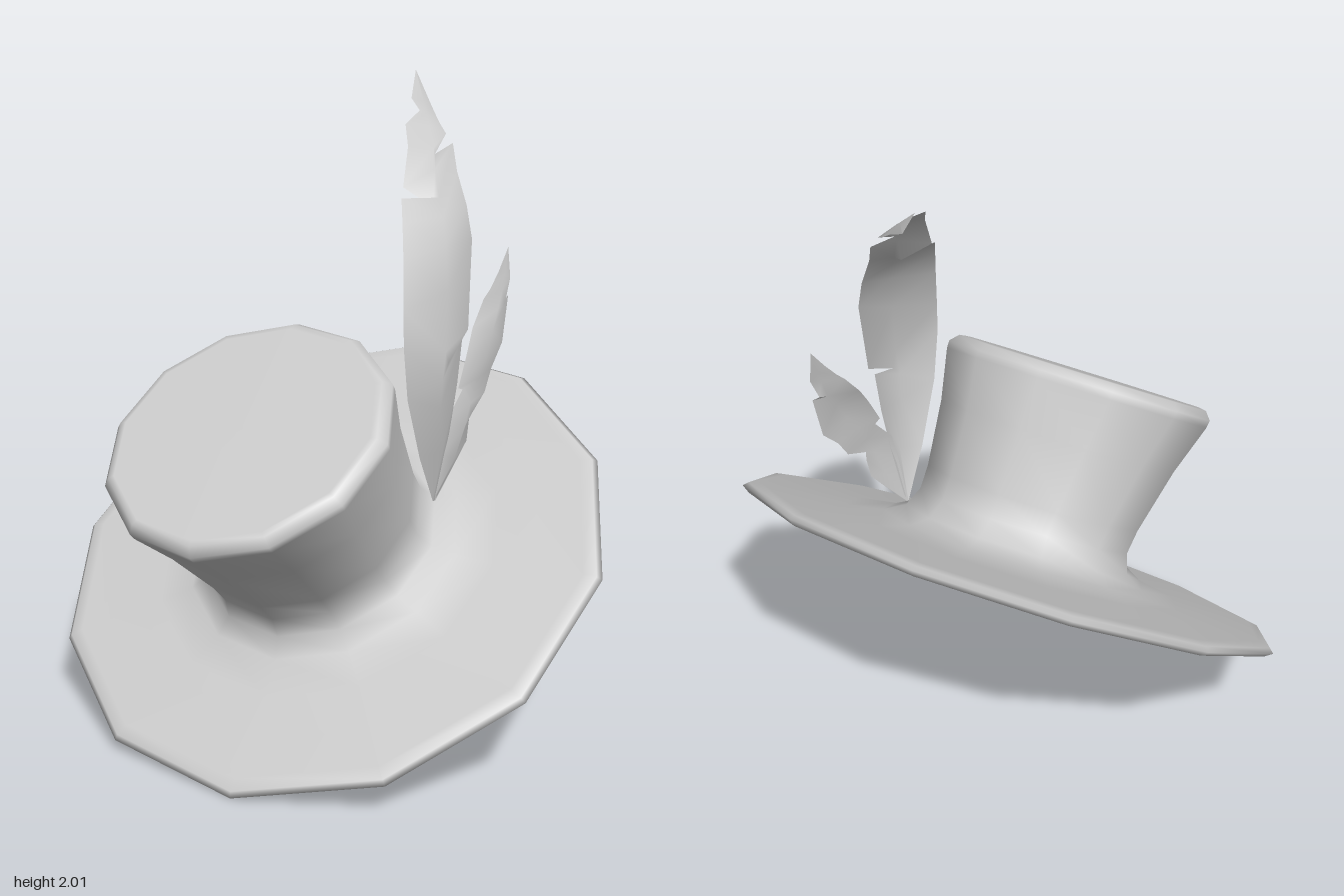
import * as THREE from 'three';
import { mergeVertices } from 'three/addons/utils/BufferGeometryUtils.js';

const felt = new THREE.MeshStandardMaterial({ color: 0xcccccc });
const plume = new THREE.MeshStandardMaterial({ color: 0xcccccc, side: THREE.DoubleSide });

// Twelve-sided brim and flared crown in one profile; the crown leans as it rises
function makeHat() {
  const profile = [
    [0, -0.02], [0.86, -0.02], [0.89, -0.018], [0.915, 0], [0.9, 0.014], [0.86, 0.022],
    [0.58, 0.03], [0.46, 0.05], [0.395, 0.085], [0.37, 0.15], [0.375, 0.23],
    [0.415, 0.45], [0.462, 0.62], [0.464, 0.645], [0.44, 0.672], [0.42, 0.675], [0, 0.677],
  ].map(([r, y]) => new THREE.Vector2(r, y));
  let geo = new THREE.LatheGeometry(profile, 12);
  const p = geo.attributes.position;
  for (let i = 0; i < p.count; i++) {
    const rise = Math.max(p.getY(i) - 0.04, 0);
    if (rise === 0) p.setX(i, p.getX(i) * 1.025);
    p.setZ(i, p.getZ(i) - 0.108 * rise);
  }
  geo.deleteAttribute('uv');
  geo.deleteAttribute('normal');
  geo = mergeVertices(geo, 1e-4);

  // Tilt: the hat's axis, and the direction of its highest rim corner
  const up = new THREE.Vector3(-0.468, 0.831, 0.302).normalize();
  const high = new THREE.Vector3(0.77, 0.47, -0.1);
  high.addScaledVector(up, -high.dot(up)).normalize();
  const side = new THREE.Vector3().crossVectors(up, high);
  geo.applyMatrix4(new THREE.Matrix4().makeBasis(side, up, high).setPosition(0, 0.5, 0));
  geo.computeVertexNormals();
  const mesh = new THREE.Mesh(geo, felt);
  mesh.name = 'brimAndCrown';
  return mesh;
}

// Ribbon through stations of left edge, midrib and right edge points
function makeFeather(name, stations) {
  const index = [];
  for (let i = 0; i < stations.length - 1; i++) {
    for (let j = 0; j < 2; j++) {
      const a = i * 3 + j, b = a + 1, c = a + 3, d = a + 4;
      index.push(a, b, d, a, d, c);
    }
  }
  const geo = new THREE.BufferGeometry();
  geo.setAttribute('position', new THREE.Float32BufferAttribute(stations.flat(), 3));
  geo.setIndex(index);
  geo.computeVertexNormals();
  const mesh = new THREE.Mesh(geo, plume);
  mesh.name = name;
  return mesh;
}

export function createModel() {
  const group = new THREE.Group();
  group.name = 'featheredHat';
  group.add(makeHat());

  // Inward jumps of an edge are the notches in the vane
  group.add(makeFeather('largeFeather', [
    [0.275, 0.7, 0.2, 0.28, 0.7, 0.2, 0.285, 0.7, 0.2],
    [0.2, 0.87, 0.25, 0.28, 0.88, 0.25, 0.33, 0.92, 0.2],
    [0.13, 1.08, 0.3, 0.25, 1.04, 0.29, 0.36, 1.08, 0.19],
    [0.11, 1.25, 0.31, 0.25, 1.13, 0.3, 0.38, 1.225, 0.18],
    [0.12, 1.36, 0.285, 0.26, 1.22, 0.3, 0.285, 1.175, 0.27],
    [0.14, 1.5, 0.24, 0.28, 1.4, 0.265, 0.4, 1.25, 0.18],
    [0.165, 1.6, 0.18, 0.3, 1.53, 0.21, 0.45, 1.52, 0.1],
    [0.19, 1.67, 0.12, 0.32, 1.61, 0.15, 0.45, 1.62, 0.06],
    [0.3, 1.635, 0.12, 0.33, 1.66, 0.1, 0.445, 1.72, 0],
    [0.22, 1.695, 0.07, 0.34, 1.74, 0.05, 0.465, 1.8, -0.07],
    [0.265, 1.81, 0.01, 0.36, 1.8, 0, 0.365, 1.78, 0],
    [0.29, 1.87, -0.06, 0.385, 1.86, -0.08, 0.445, 1.83, -0.08],
    [0.38, 1.9, -0.14, 0.405, 1.89, -0.14, 0.45, 1.86, -0.14],
    [0.37, 1.935, -0.18, 0.42, 1.92, -0.19, 0.46, 1.9, -0.21],
    [0.5, 2, -0.41, 0.5, 2, -0.41, 0.5, 2, -0.41],
  ]));
  group.add(makeFeather('smallFeather', [
    [0.275, 0.7, 0.2, 0.28, 0.7, 0.2, 0.285, 0.7, 0.2],
    [0.3, 0.86, 0.21, 0.35, 0.83, 0.2, 0.42, 0.87, 0.15],
    [0.325, 0.97, 0.2, 0.39, 0.93, 0.19, 0.44, 0.95, 0.13],
    [0.39, 1.05, 0.17, 0.42, 1.0, 0.17, 0.43, 0.96, 0.16],
    [0.37, 1.06, 0.18, 0.46, 1.07, 0.14, 0.51, 1.01, 0.1],
    [0.42, 1.16, 0.14, 0.5, 1.13, 0.12, 0.55, 1.08, 0.07],
    [0.46, 1.23, 0.1, 0.54, 1.21, 0.09, 0.61, 1.15, 0.03],
    [0.52, 1.31, 0.06, 0.58, 1.27, 0.05, 0.645, 1.3, 0],
    [0.55, 1.34, 0.05, 0.6, 1.33, 0.04, 0.61, 1.28, 0.04],
    [0.59, 1.39, 0.03, 0.62, 1.38, 0.02, 0.645, 1.36, 0.01],
    [0.64, 1.46, 0, 0.64, 1.46, 0, 0.64, 1.46, 0],
  ]));
  return group;
}
